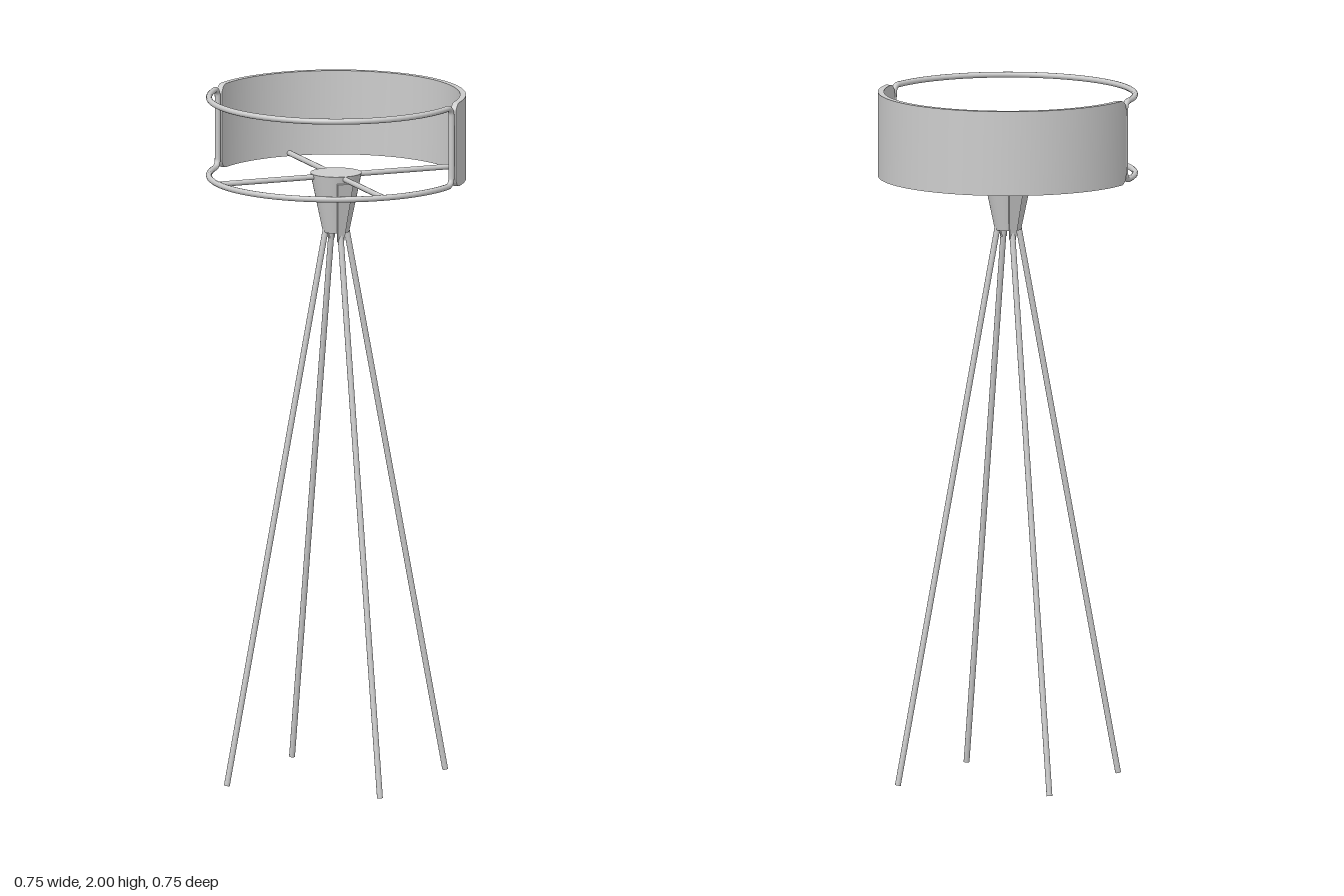
import * as THREE from 'three';
import { toCreasedNormals } from 'three/addons/utils/BufferGeometryUtils.js';

const TOP = 2, BOTTOM = 1.755, RING = 0.365, WIRE = 0.0085, SEAM = Math.PI / 4;

// Point on the ring: angle from +x towards +z
const onRing = (r, a, y) => new THREE.Vector3(r * Math.cos(a), y, r * Math.sin(a));

// Straight round rod between two points
function rod(a, b, radius, material, name) {
  const dir = new THREE.Vector3().subVectors(b, a);
  const mesh = new THREE.Mesh(new THREE.CylinderGeometry(radius, radius, dir.length(), 12), material);
  mesh.position.addVectors(a, b).multiplyScalar(0.5);
  mesh.quaternion.setFromUnitVectors(new THREE.Vector3(0, 1, 0), dir.normalize());
  mesh.name = name;
  return mesh;
}

// Closed wire loop: upper and lower arcs joined by posts with rounded corners
function wireLoopGeometry() {
  const gap = 0.011 / RING, start = SEAM + gap, end = SEAM + Math.PI - gap;
  const yTop = TOP - WIRE, yLow = BOTTOM + WIRE, r = 0.022;
  const points = [];
  const corner = (a, sideways, y, vertical, from) => {
    for (let i = 0; i <= 5; i++) {
      const t = from + (i / 5) * Math.PI / 2;
      const along = r - r * Math.abs(Math.cos(t)), down = r - r * Math.abs(Math.sin(t));
      points.push(onRing(RING, a + sideways * along / RING, y + vertical * down));
    }
  };
  const arc = (from, to, y) => {
    for (let i = 1; i < 48; i++) points.push(onRing(RING, from + (to - from) * i / 48, y));
  };
  const inset = r / RING;
  corner(start, 1, yTop, -1, 0);
  arc(start + inset, end - inset, yTop);
  corner(end, -1, yTop, -1, Math.PI / 2);
  corner(end, -1, yLow, 1, 0);
  arc(end - inset, start + inset, yLow);
  corner(start, 1, yLow, 1, Math.PI / 2);
  const curve = new THREE.CatmullRomCurve3(points, true);
  curve.arcLengthDivisions = 1200;
  return new THREE.TubeGeometry(curve, 400, WIRE, 10, true);
}

// Curved band with thickness and rounded corners, swept from four-corner sections
function bandGeometry() {
  const inner = RING - WIRE, outer = RING + WIRE, r = 0.03;
  const gap = 0.001 / RING, start = SEAM - Math.PI + gap, span = Math.PI - 2 * gap;
  const inset = r / RING, steps = [];
  for (let i = 0; i <= 8; i++) steps.push(inset * (1 - Math.cos(i / 8 * Math.PI / 2)));
  for (let i = 1; i < 64; i++) steps.push(inset + (span - 2 * inset) * i / 64);
  for (let i = 8; i >= 0; i--) steps.push(span - steps[i]);
  const positions = [], index = [];
  steps.forEach((s) => {
    const edge = Math.max(0, r - Math.min(s, span - s) * RING);
    const cut = r - Math.sqrt(Math.max(0, r * r - edge * edge));
    const a = start + s, lo = BOTTOM + cut, hi = TOP - cut;
    [[outer, lo], [outer, hi], [inner, hi], [inner, lo]].forEach(([q, y]) => {
      positions.push(...onRing(q, a, y).toArray());
    });
  });
  for (let i = 0; i < steps.length - 1; i++) {
    for (let k = 0; k < 4; k++) {
      const a = i * 4 + k, b = i * 4 + (k + 1) % 4;
      index.push(a, b, a + 4, b, b + 4, a + 4);
    }
  }
  const n = (steps.length - 1) * 4;
  index.push(0, 2, 1, 0, 3, 2, n, n + 1, n + 2, n, n + 2, n + 3);
  const geometry = new THREE.BufferGeometry();
  geometry.setAttribute('position', new THREE.Float32BufferAttribute(positions, 3));
  geometry.setIndex(index);
  return toCreasedNormals(geometry, 0.6);
}

export function createModel() {
  const group = new THREE.Group();
  const grey = new THREE.MeshStandardMaterial({ color: 0xcccccc });
  grey.name = 'light grey';
  const add = (geometry, name) => {
    const mesh = new THREE.Mesh(geometry, grey);
    mesh.name = name;
    group.add(mesh);
    return mesh;
  };

  // Round top: solid band on one half, open wire loop on the other
  add(bandGeometry(), 'backBand');
  add(wireLoopGeometry(), 'wireLoop');

  // Tapered hub
  const hub = add(new THREE.CylinderGeometry(0.074, 0.038, 0.172, 40), 'hub');
  hub.position.y = 1.686;

  // Spokes and splayed legs
  for (let i = 0; i < 4; i++) {
    const a = i * Math.PI / 2;
    group.add(rod(onRing(0.04, a, BOTTOM + WIRE), onRing(0.36, a, BOTTOM + WIRE), 0.008, grey, 'spoke'));
    group.add(rod(onRing(0.338, a, 0.0015), onRing(0.026, a, 1.64), 0.0085, grey, 'leg'));
  }

  // Tapered brackets on the front and back of the hub
  const plate = new THREE.Shape([
    new THREE.Vector2(-0.009, -0.095), new THREE.Vector2(0.009, -0.095),
    new THREE.Vector2(0.024, 0.085), new THREE.Vector2(-0.024, 0.085)
  ]);
  const plateGeometry = new THREE.ExtrudeGeometry(plate, { depth: 0.008, bevelEnabled: false });
  for (const side of [0, Math.PI]) {
    const bracket = new THREE.Group();
    bracket.name = 'bracket';
    const mesh = new THREE.Mesh(plateGeometry, grey);
    mesh.name = 'bracketPlate';
    mesh.position.set(0, 1.668, 0.05);
    mesh.rotation.x = 0.2;
    bracket.add(mesh);
    bracket.rotation.y = side;
    group.add(bracket);
  }
  return group;
}
